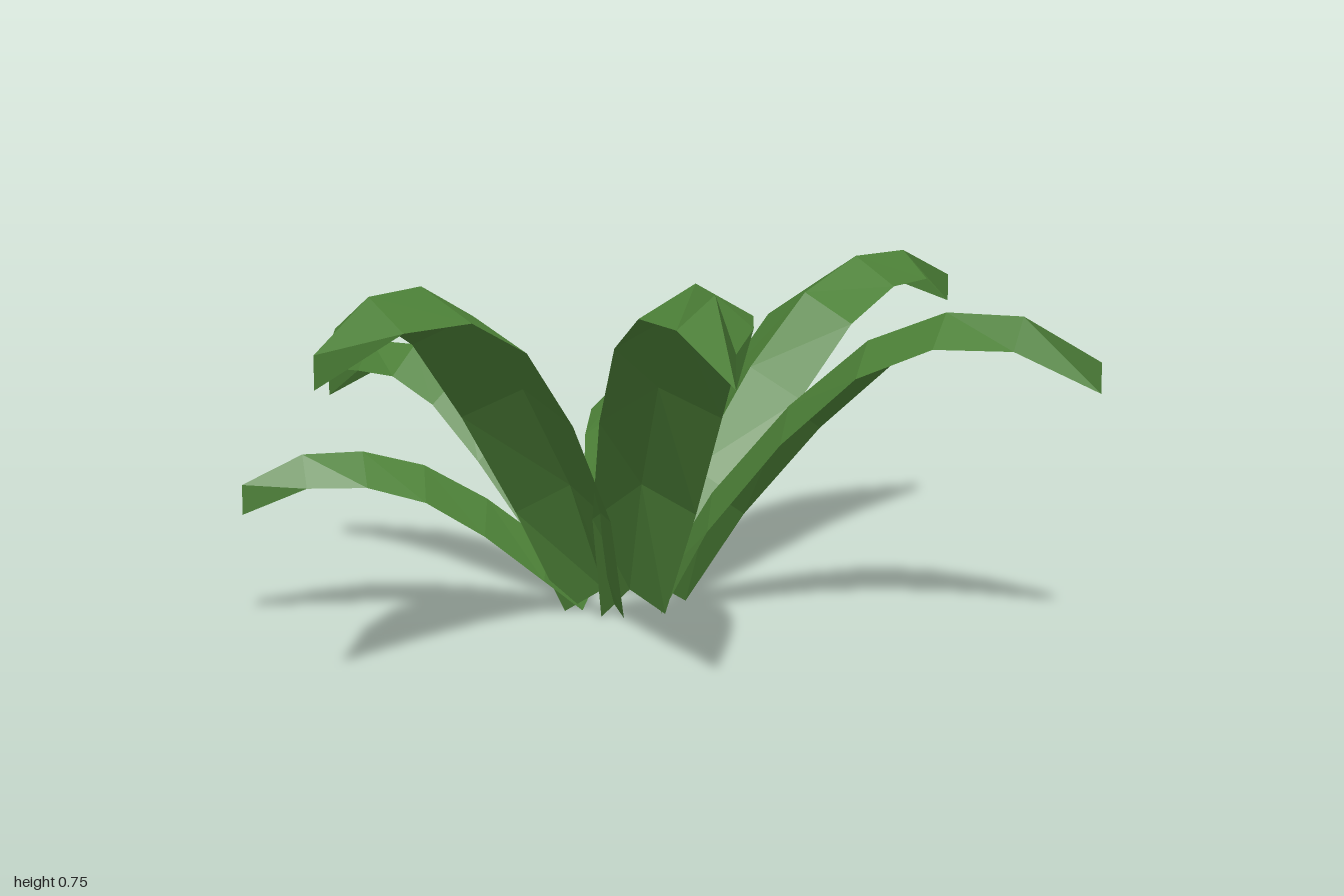
import * as THREE from 'three';

const CENTRE = { x: -0.045, z: -0.155 };

// tip x, tip z, height of the arch, height of the tip
const LEAVES = [
  [1.0, -0.40, 0.66, 0.59],
  [0.38, -0.81, 0.375, 0.32],
  [-0.37, -0.84, 0.50, 0.43],
  [-0.79, -0.38, 0.345, 0.29],
  [-1.0, 0.39, 0.74, 0.66],
  [-0.44, 0.83, 0.75, 0.67],
  [0.505, 0.68, 0.64, 0.56],
];

// stations from root to tip: distance, ridge height, half width, outward shift of the edges
const REACH = [0.075, 0.2, 0.365, 0.53, 0.69, 0.845, 1];
const RISE = [0, 0.385, 0.68, 0.9, 1, 1, 1];
const WIDTH = [0.062, 0.098, 0.112, 0.112, 0.098, 0.064, 0];
const SHIFT = [0.04, 0.03, 0.025, 0.015, 0.005, 0, 0];
const FOLD = 0.06;

// An arching leaf along +x, folded into a ridge along its middle
function leafGeometry(length, peak, tip) {
  const points = [], index = [];
  const last = REACH.length - 1;
  REACH.forEach((reach, i) => {
    const x = reach * length;
    const y = i === 0 ? 0.045 : i === last ? tip : RISE[i] * peak;
    const w = WIDTH[i] * length;
    const low = Math.max(0, y - FOLD);
    points.push(x + SHIFT[i], low, -w, x, y, 0, x + SHIFT[i], low, w);
    if (i === last) return;
    const a = i * 3;
    for (const k of [a, a + 1]) index.push(k, k + 1, k + 4, k, k + 4, k + 3);
  });
  const indexed = new THREE.BufferGeometry();
  indexed.setAttribute('position', new THREE.Float32BufferAttribute(points, 3));
  indexed.setIndex(index);
  const geometry = indexed.toNonIndexed();
  geometry.computeVertexNormals();
  return geometry;
}

export function createModel() {
  const group = new THREE.Group();
  group.name = 'plant';
  const green = new THREE.MeshStandardMaterial({
    color: 0x4c8037, flatShading: true, side: THREE.DoubleSide,
  });
  green.name = 'leaf green';

  // Leaves fan out from a small ring
  LEAVES.forEach(([tipX, tipZ, peak, tip], i) => {
    const dx = tipX - CENTRE.x, dz = tipZ - CENTRE.z;
    const leaf = new THREE.Mesh(leafGeometry(Math.hypot(dx, dz), peak, tip), green);
    leaf.name = `leaf${i + 1}`;
    leaf.position.set(CENTRE.x, 0, CENTRE.z);
    leaf.rotation.y = Math.atan2(-dz, dx);
    group.add(leaf);
  });
  return group;
}
